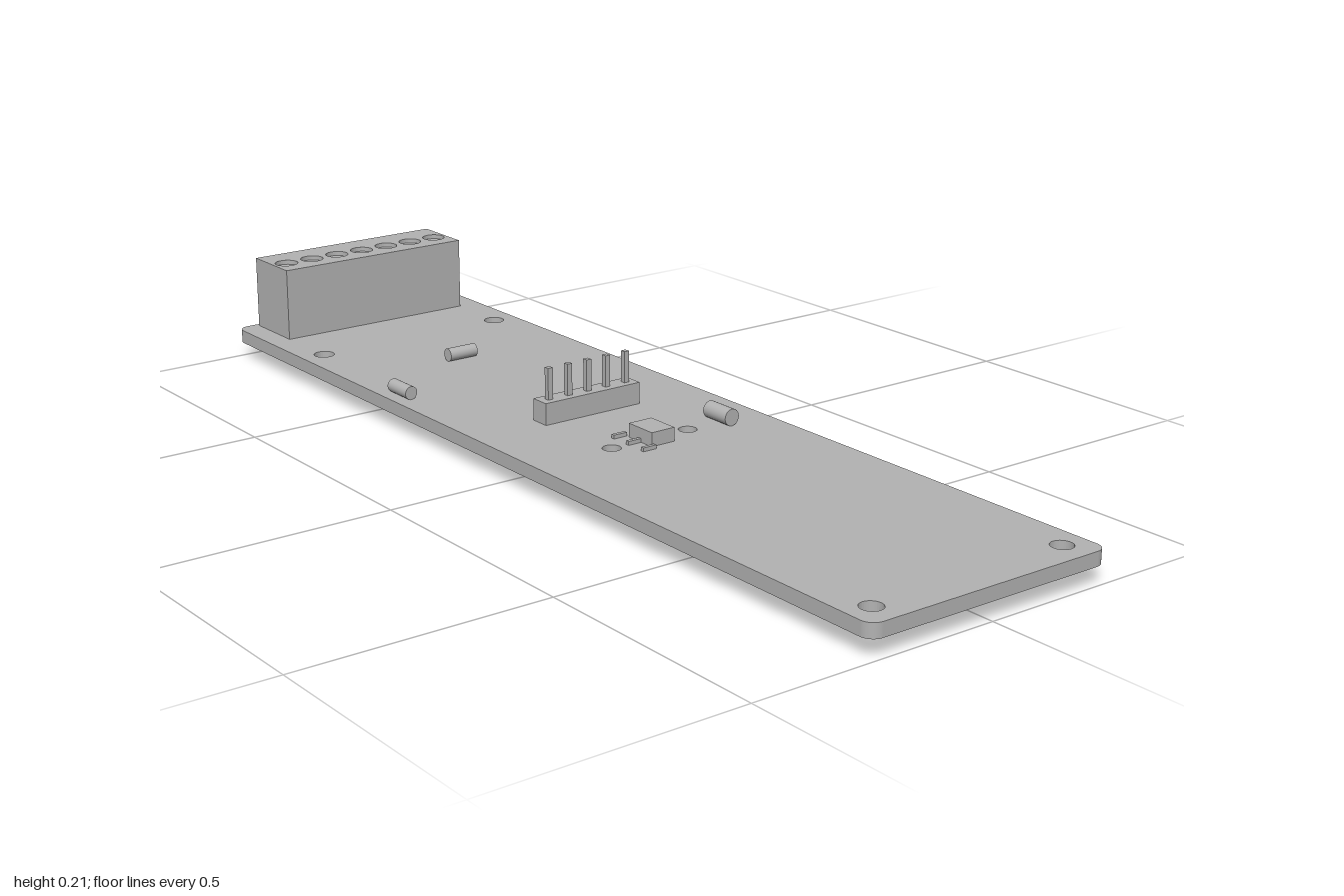
import * as THREE from 'three';

const grey = new THREE.MeshStandardMaterial({ color: 0xb2b2b2 });
grey.name = 'plain grey';

const BOARD_BOTTOM = 0.035, BOARD_TOP = 0.0625;

function add(parent, name, geometry) {
  const mesh = new THREE.Mesh(geometry, grey);
  mesh.name = name;
  parent.add(mesh);
  return mesh;
}

// Box given by its limits on each axis
function box(parent, name, x0, x1, y0, y1, z0, z1) {
  const mesh = add(parent, name, new THREE.BoxGeometry(x1 - x0, y1 - y0, z1 - z0));
  mesh.position.set((x0 + x1) / 2, (y0 + y1) / 2, (z0 + z1) / 2);
  return mesh;
}

function rectangle(PathType, x0, x1, y0, y1, r = 0) {
  const p = new PathType();
  if (r === 0) {
    p.moveTo(x0, y0).lineTo(x1, y0).lineTo(x1, y1).lineTo(x0, y1).closePath();
    return p;
  }
  p.moveTo(x0 + r, y0);
  p.lineTo(x1 - r, y0).absarc(x1 - r, y0 + r, r, -Math.PI / 2, 0);
  p.lineTo(x1, y1 - r).absarc(x1 - r, y1 - r, r, 0, Math.PI / 2);
  p.lineTo(x0 + r, y1).absarc(x0 + r, y1 - r, r, Math.PI / 2, Math.PI);
  p.lineTo(x0, y0 + r).absarc(x0 + r, y0 + r, r, Math.PI, Math.PI * 1.5);
  return p;
}

function circleHole(x, y, r) {
  return new THREE.Path().absarc(x, y, r, 0, Math.PI * 2, true);
}

// Plate drawn in plan (shape y = -z) and raised from y0 to y1
function plate(shape, y0, y1) {
  const g = new THREE.ExtrudeGeometry(shape, { depth: y1 - y0, bevelEnabled: false, curveSegments: 16 });
  return g.rotateX(-Math.PI / 2).translate(0, y0, 0);
}

function buildBoard() {
  const shape = rectangle(THREE.Shape, -0.264, 0.264, -1, 1, 0.025);
  for (const x of [-0.213, 0.213])
    for (const z of [-0.72, 0.945]) shape.holes.push(circleHole(x, -z, 0.021));
  for (const x of [-0.09, 0.089]) shape.holes.push(circleHole(x, -0.112, 0.018));
  const group = new THREE.Group();
  add(group, 'circuitBoard', plate(shape, BOARD_BOTTOM, BOARD_TOP));
  return group;
}

function buildTerminalBlock() {
  const group = new THREE.Group();
  group.name = 'terminalBlock';
  const x0 = -0.217, x1 = 0.216, zBack = -0.99, zMid = -0.92, zFront = -0.858;
  const yDeck = 0.185, yTop = 0.213, zScrew = -0.914, screwR = 0.024;
  const slots = Array.from({ length: 7 }, (_, i) => (i - 3) * 0.0618);

  // Rear half with a wire opening for each terminal
  const rear = rectangle(THREE.Shape, x0, x1, BOARD_TOP, yDeck);
  for (const x of slots) rear.holes.push(rectangle(THREE.Path, x - 0.023, x + 0.023, 0.089, 0.138));
  const rearGeo = new THREE.ExtrudeGeometry(rear, { depth: zMid - zBack, bevelEnabled: false });
  add(group, 'wireEntry', rearGeo.translate(0, 0, zBack));
  box(group, 'blockFront', x0, x1, BOARD_TOP, yDeck, zMid, zFront);

  // Top slab with screw wells
  const top = rectangle(THREE.Shape, x0, x1, -zFront, -zBack);
  for (const x of slots) top.holes.push(circleHole(x, -zScrew, screwR));
  add(group, 'blockTop', plate(top, yDeck, yTop));

  for (const x of slots) {
    // Slotted screw head made of two halves
    const a = 0.2;
    for (const start of [a, Math.PI + a]) {
      const half = new THREE.Shape().absarc(0, 0, screwR, start, start + Math.PI - 2 * a);
      half.closePath();
      const head = add(group, 'screwHead', plate(half, yDeck, 0.204));
      head.position.set(x, 0, zScrew);
    }
    // Solder pin
    const pin = add(group, 'terminalPin', new THREE.CylinderGeometry(0.0065, 0.0065, 0.0625, 12));
    pin.position.set(x, 0.03125, -0.91);
  }
  return group;
}

function buildPinHeader() {
  const group = new THREE.Group();
  group.name = 'pinHeader';
  box(group, 'headerBase', -0.112, 0.111, BOARD_TOP, 0.106, -0.107, -0.066);
  for (let i = -2; i <= 2; i++) {
    const x = i * 0.0452;
    box(group, 'headerPin', x - 0.0055, x + 0.0055, 0.019, 0.169, -0.0915, -0.0805);
  }
  return group;
}

function buildTransistor() {
  const group = new THREE.Group();
  group.name = 'transistor';
  box(group, 'transistorBody', -0.027, 0.026, BOARD_TOP, 0.09, 0.081, 0.151);
  for (const z of [0.07, 0.115, 0.16])
    box(group, 'transistorLead', -0.056, -0.026, BOARD_TOP, 0.07, z - 0.004, z + 0.004);
  return group;
}

// Small cylindrical component lying on the board
function buildCylinderPart(name, x, z, r, length, alongX) {
  const group = new THREE.Group();
  const g = new THREE.CylinderGeometry(r, r, length, 24);
  if (alongX) g.rotateZ(Math.PI / 2);
  else g.rotateX(Math.PI / 2);
  add(group, name, g).position.set(x, BOARD_TOP + r, z);
  return group;
}

export function createModel() {
  const model = new THREE.Group();
  model.name = 'sensorBoard';
  model.add(
    buildBoard(),
    buildTerminalBlock(),
    buildPinHeader(),
    buildTransistor(),
    buildCylinderPart('rightDiode', -0.231, -0.386, 0.0135, 0.066, false),
    buildCylinderPart('rearDiode', -0.002, -0.524, 0.0135, 0.065, true),
    buildCylinderPart('leftDiode', 0.168, 0.114, 0.0168, 0.066, false),
  );
  return model;
}
